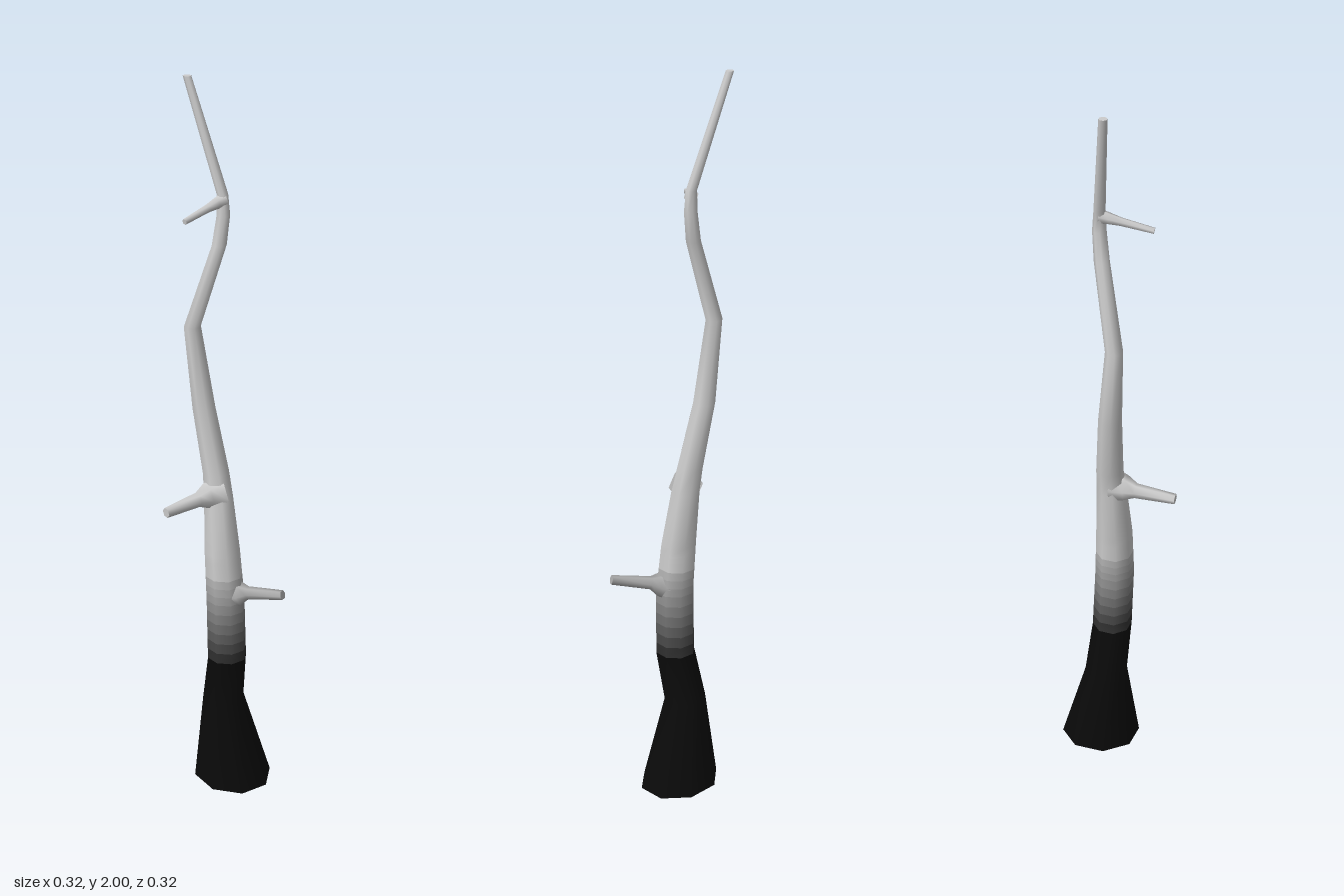
import * as THREE from 'three';

// Skin a row of stations [x, y, z, radius] with rings square to the given axis.
// colorOf(i) gives the grey level of the band above station i.
function limb(name, stations, sides, phase, axis, colorOf, baseTilt = 0) {
  const turn = new THREE.Quaternion().setFromUnitVectors(new THREE.Vector3(0, 1, 0), axis.clone().normalize());
  const pos = [], index = [], materials = [];
  const geometry = new THREE.BufferGeometry();
  const addRing = (i) => {
    const [x, y, z, r] = stations[i];
    for (let k = 0; k < sides; k++) {
      const a = phase + (k / sides) * Math.PI * 2;
      const p = new THREE.Vector3(Math.cos(a) * r, 0, Math.sin(a) * r).applyQuaternion(turn);
      if (i === 0) p.y -= p.x * baseTilt;
      pos.push(x + p.x, y + p.y, z + p.z);
    }
  };
  const last = stations.length - 1;
  stations.forEach((s, i) => addRing(i));
  const addCap = (i, up) => {
    const start = pos.length / 3;
    addRing(i);
    const centre = pos.length / 3;
    pos.push(...stations[i].slice(0, 3));
    for (let k = 0; k < sides; k++) {
      const a = start + k, b = start + ((k + 1) % sides);
      if (up) index.push(centre, b, a);
      else index.push(centre, a, b);
    }
  };
  for (let i = 0; i < last; i++) {
    const from = index.length;
    if (i === 0) addCap(0, false);
    for (let k = 0; k < sides; k++) {
      const a = i * sides + k, b = i * sides + ((k + 1) % sides);
      index.push(a, a + sides, b, b, a + sides, b + sides);
    }
    if (i === last - 1) addCap(last, true);
    geometry.addGroup(from, index.length - from, i);
    const g = colorOf(i);
    materials.push(new THREE.MeshStandardMaterial({ color: new THREE.Color(g, g, g) }));
  }
  geometry.setAttribute('position', new THREE.Float32BufferAttribute(pos, 3));
  geometry.setIndex(index);
  geometry.computeVertexNormals();
  const mesh = new THREE.Mesh(geometry, materials);
  mesh.name = name;
  return mesh;
}

export function createModel() {
  const group = new THREE.Group();
  group.name = 'charredDeadTree';
  const grey = new THREE.Color(0xcccccc).r; // linear level of the bare wood

  // Trunk centre line and radius, from the flared foot to the thin tip
  const key = [
    [-0.027, 0.012, -0.053, 0.109],
    [-0.045, 0.26, -0.034, 0.058],
    [-0.019, 0.40, -0.021, 0.054],
    [-0.018, 0.58, -0.014, 0.053],
    [-0.029, 0.72, -0.013, 0.049],
    [-0.046, 0.87, -0.017, 0.040],
    [-0.058, 0.94, -0.02, 0.036],
    [-0.095, 1.12, -0.013, 0.031],
    [-0.121, 1.345, 0.002, 0.023],
    [-0.062, 1.57, -0.038, 0.020],
    [-0.054, 1.65, -0.045, 0.018],
    [-0.056, 1.705, -0.044, 0.015],
    [-0.153, 2.0, -0.018, 0.011],
  ];

  // Extra rings through the scorched zone so the char fades out in fine bands
  const stations = [];
  key.forEach((s, i) => {
    const steps = i === 2 || i === 3 ? 6 : 1;
    for (let k = 0; k < steps; k++) {
      const next = key[i + 1] ?? s;
      stations.push(s.map((v, c) => v + (next[c] - v) * (k / steps)));
    }
  });
  const char = (y) => 0.003 + (grey - 0.003) * THREE.MathUtils.clamp((y - 0.38) / 0.32, 0, 1) ** 1.4;
  const trunkColor = (i) => (i < 2 ? 0.003 : char((stations[i][1] + stations[i + 1][1]) / 2));
  group.add(limb('trunk', stations, 8, -1.78, new THREE.Vector3(0, 1, 0), trunkColor, 0.1));

  // Broken branch stubs, flared where they leave the trunk
  const stub = (name, points, level) => {
    const first = new THREE.Vector3(...points[0]);
    const end = new THREE.Vector3(...points[points.length - 1]);
    group.add(limb(name, points, 6, 0.3, end.sub(first), () => level));
  };
  stub('leftBranch', [
    [-0.005, 0.595, -0.02, 0.042],
    [0.028, 0.604, -0.027, 0.032],
    [0.05, 0.612, -0.032, 0.018],
    [0.156, 0.635, -0.051, 0.013],
  ], char(0.62));
  stub('frontBranch', [
    [-0.047, 0.885, -0.015, 0.046],
    [-0.055, 0.885, 0.022, 0.034],
    [-0.06, 0.882, 0.05, 0.020],
    [-0.073, 0.876, 0.157, 0.014],
  ], grey);
  stub('upperBranch', [
    [-0.055, 1.69, -0.045, 0.019],
    [-0.056, 1.686, -0.02, 0.015],
    [-0.057, 1.68, 0.01, 0.011],
    [-0.059, 1.663, 0.093, 0.008],
  ], grey);

  return group;
}
